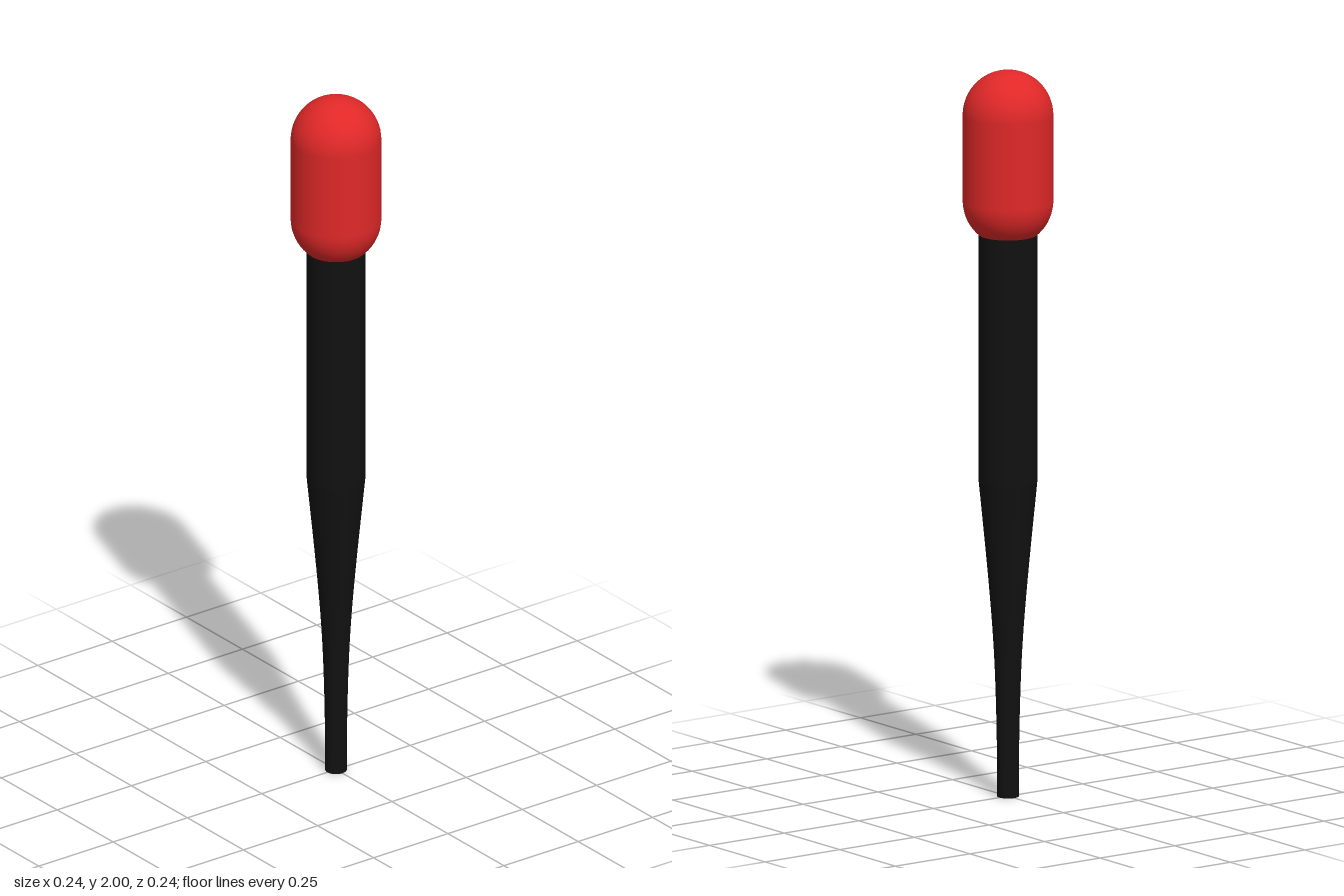
import * as THREE from 'three';

const SIDES = 48;

export function createModel() {
  const model = new THREE.Group();
  const black = new THREE.MeshStandardMaterial({ color: 0x111111 });
  const red = new THREE.MeshStandardMaterial({ color: 0xe02828 });

  const add = (name, geometry, material, y = 0) => {
    const mesh = new THREE.Mesh(geometry, material);
    mesh.name = name;
    mesh.position.y = y;
    model.add(mesh);
    return mesh;
  };

  // Rounded capsule head
  const headRadius = 0.122, headBottom = 1.52, headTop = 2;
  add('head',
    new THREE.CapsuleGeometry(headRadius, headTop - headBottom - 2 * headRadius, 16, SIDES),
    red, (headTop + headBottom) / 2);

  // Straight upper shaft, its top sunk into the head
  const shoulder = 0.87, shaftTop = 1.55, shaftRadius = 0.079;
  add('upperShaft',
    new THREE.CylinderGeometry(shaftRadius, shaftRadius, shaftTop - shoulder, SIDES),
    black, (shaftTop + shoulder) / 2);

  // Lower shaft, tapering in a gentle concave curve to a narrow tip
  const taper = new THREE.SplineCurve([
    [0.029, 0], [0.031, 0.2], [0.038, 0.4], [0.053, 0.6], [shaftRadius, shoulder],
  ].map(([r, y]) => new THREE.Vector2(r, y)));
  add('taperedShaft', new THREE.LatheGeometry(taper.getPoints(24), SIDES), black);

  // Flat end of the tip
  add('tipEnd', new THREE.CircleGeometry(0.029, SIDES).rotateX(Math.PI / 2), black);

  return model;
}
